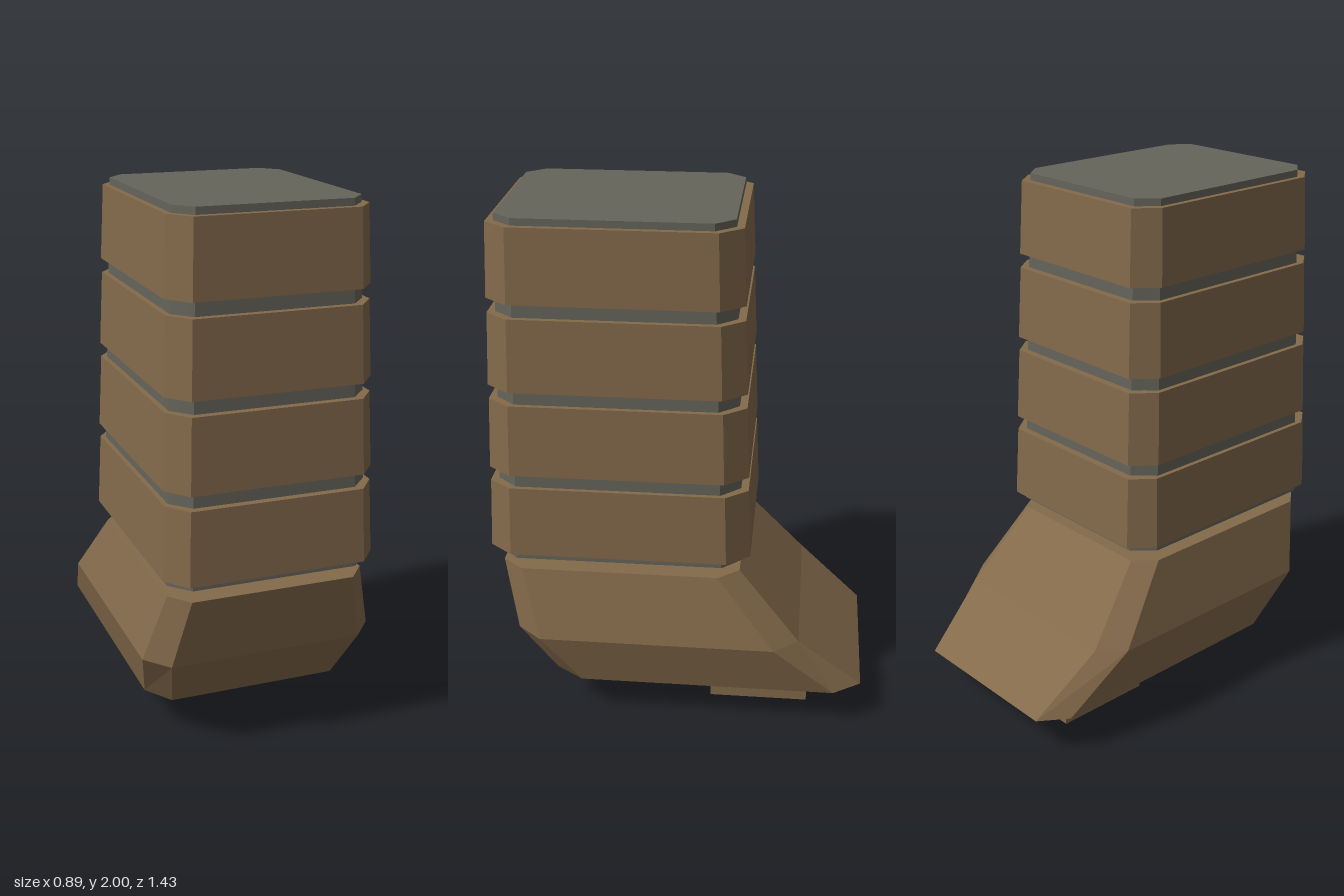
import * as THREE from 'three';

const brown = new THREE.MeshStandardMaterial({ color: 0x846a4b, flatShading: true });
const grey = new THREE.MeshStandardMaterial({ color: 0x65645a, flatShading: true });

// Rectangle with cut corners at height y: half width, front z, back z, corner cuts in x and z
const ring = ([y, w, front, back, cx, cz]) => [
  [w, front - cz], [w, back + cz], [w - cx, back], [cx - w, back],
  [-w, back + cz], [-w, front - cz], [cx - w, front], [w - cx, front],
].map(([x, z]) => [x, y, z]);

// Closed solid through a stack of cut-corner sections, from bottom to top
function loft(name, sections, material) {
  const rings = sections.map(ring);
  const n = 8;
  const index = [];
  rings.slice(1).forEach((_, r) => {
    for (let i = 0; i < n; i++) {
      const a = r * n + i, b = r * n + (i + 1) % n;
      index.push(a, b, b + n, a, b + n, a + n);
    }
  });
  const top = (rings.length - 1) * n;
  for (let i = 1; i < n - 1; i++) {
    index.push(0, i + 1, i, top, top + i, top + i + 1);
  }
  let geometry = new THREE.BufferGeometry();
  geometry.setAttribute('position', new THREE.Float32BufferAttribute(rings.flat(2), 3));
  geometry.setIndex(index);
  geometry = geometry.toNonIndexed();
  geometry.computeVertexNormals();
  const mesh = new THREE.Mesh(geometry, material);
  mesh.name = name;
  return mesh;
}

export function createModel() {
  const model = new THREE.Group();
  model.name = 'segmentedLeg';

  // Tapering inner column, seen in the gaps between the bands
  model.add(loft('core', [
    [0.685, 0.38, 0.69, -0.24, 0.07, 0.075],
    [2, 0.34, 0.645, -0.195, 0.06, 0.07],
  ], grey));

  // Four armour bands, each a little narrower than the one below
  for (let i = 0; i < 4; i++) {
    const y = 0.712 + i * 0.329, s = i * 0.0085;
    model.add(loft(`band${i + 1}`, [
      [y, 0.4 - s, 0.72 - s * 1.35, -0.27 + s * 1.35, 0.07, 0.087],
      [y + 0.275, 0.388 - s, 0.708 - s * 1.35, -0.258 + s * 1.35, 0.066, 0.083],
    ], brown));
  }

  // Flared foot leaning backwards
  model.add(loft('foot', [
    [0.153, 0.395, 0.487, -0.714, 0.073, 0.107],
    [0.366, 0.447, 0.624, -0.465, 0.08, 0.094],
    [0.637, 0.375, 0.68, -0.23, 0.066, 0.08],
  ], brown));

  // Block under the foot
  const block = new THREE.Mesh(new THREE.BoxGeometry(0.484, 0.155, 0.386), brown);
  block.name = 'heelBlock';
  block.position.set(0, 0.0775, -0.312);
  model.add(block);

  return model;
}
